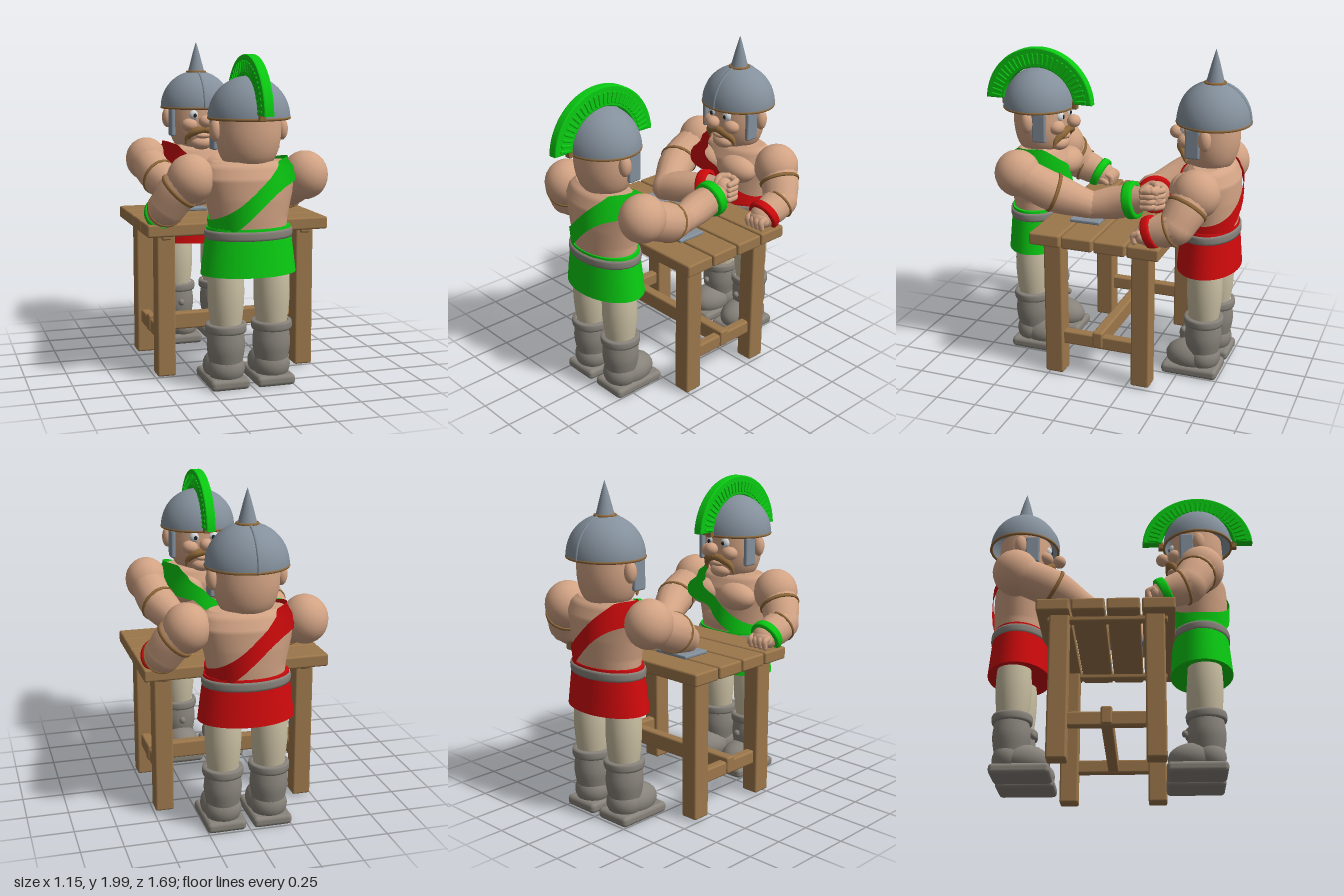
import * as THREE from 'three';
import { RoundedBoxGeometry } from 'three/addons/geometries/RoundedBoxGeometry.js';
import { ParametricGeometry } from 'three/addons/geometries/ParametricGeometry.js';

const mat = (name, color, side = THREE.FrontSide) => {
  const m = new THREE.MeshStandardMaterial({ color, side });
  m.name = name;
  return m;
};
const V = (x, y, z) => new THREE.Vector3(x, y, z);

export function createModel() {
  const skin = mat('skin', 0xd2a384), steel = mat('steel', 0x84909c, THREE.DoubleSide);
  const leather = mat('greyLeather', 0x87827a), linen = mat('linen', 0xc9bea2);
  const wood = mat('wood', 0x9c774b), trim = mat('brownTrim', 0x8f6839);
  const green = mat('greenCloth', 0x0acb12, THREE.DoubleSide), red = mat('redCloth', 0xd00a0c, THREE.DoubleSide);
  const white = mat('eyeWhite', 0xd5d9dc), dark = mat('pupil', 0x222428);

  // ---- helpers ----
  const add = (g, name, geo, m, p = [0, 0, 0], s = [1, 1, 1]) => {
    const mesh = new THREE.Mesh(geo, m);
    mesh.name = name;
    mesh.position.set(...p);
    mesh.scale.set(...s);
    g.add(mesh);
    return mesh;
  };
  const ball = new THREE.SphereGeometry(1, 22, 14), endBall = new THREE.SphereGeometry(1, 14, 9);
  const blob = (g, name, m, p, s) => add(g, name, ball, m, p, s);
  const box = (g, name, m, size, p, r = 0.012, seg = 2) => add(g, name, new RoundedBoxGeometry(...size, seg, r), m, p);
  const lathe = (g, name, m, pts, p, s) =>
    add(g, name, new THREE.LatheGeometry(new THREE.SplineCurve(pts.map(q => new THREE.Vector2(...q))).getPoints(12), 28), m, p, s);
  // Tube whose radius follows the fourth number of each point
  const limb = (g, name, m, pts) => {
    const curve = new THREE.CatmullRomCurve3(pts.map(q => V(q[0], q[1], q[2])));
    const n = 12, k = 14, geo = new THREE.TubeGeometry(curve, n, 1, k), pos = geo.attributes.position;
    for (let i = 0; i <= n; i++) {
      const t = curve.getUtoTmapping(i / n) * (pts.length - 1), j = Math.min(Math.floor(t), pts.length - 2);
      const r = THREE.MathUtils.lerp(pts[j][3], pts[j + 1][3], THREE.MathUtils.smoothstep(t - j, 0, 1));
      const c = curve.getPointAt(i / n);
      for (let a = 0; a <= k; a++) {
        const id = i * (k + 1) + a, v = V(0, 0, 0).fromBufferAttribute(pos, id).sub(c).multiplyScalar(r).add(c);
        pos.setXYZ(id, v.x, v.y, v.z);
      }
    }
    add(g, name, geo, m);
    for (const e of [pts[0], pts[pts.length - 1]]) add(g, name + 'End', endBall, m, e.slice(0, 3), [e[3], e[3], e[3]]);
  };
  // Cuff or band around a limb, its axis along dir
  const band = (g, name, m, p, dir, r, h) => {
    const geo = new THREE.LatheGeometry([[r - 0.025, -h / 2], [r - 0.004, -h / 2], [r, -h / 4], [r, h / 4], [r - 0.004, h / 2], [r - 0.025, h / 2]]
      .map(q => new THREE.Vector2(...q)), 28);
    const mesh = add(g, name, geo, m, p);
    mesh.quaternion.setFromUnitVectors(V(0, 1, 0), V(...dir).normalize());
    return mesh;
  };

  // ---- torso shape: half width and depth by height ----
  const rows = [[0.9, 0.225, 0.155], [1.0, 0.23, 0.165], [1.12, 0.255, 0.172], [1.24, 0.285, 0.168], [1.3, 0.265, 0.14], [1.33, 0.22, 0.1]];
  const girth = y => {
    let i = 0;
    while (i < rows.length - 2 && y > rows[i + 1][0]) i++;
    const [a, b] = [rows[i], rows[i + 1]], t = THREE.MathUtils.clamp((y - a[0]) / (b[0] - a[0]), 0, 1);
    return [a[1] + (b[1] - a[1]) * t, a[2] + (b[2] - a[2]) * t];
  };
  const bumps = [[-0.125, 1.19, 0.12, 0.135, 0.09, 0.1], [0.125, 1.19, 0.12, 0.135, 0.09, 0.1], [0, 1.03, 0.07, 0.17, 0.11, 0.115]];
  const inside = (x, y, z) => {
    const [rx, rz] = girth(y);
    return (x / rx) ** 2 + (z / rz) ** 2 < 1 ||
      bumps.some(b => ((x - b[0]) / b[3]) ** 2 + ((y - b[1]) / b[4]) ** 2 + ((z - b[2]) / b[5]) ** 2 < 1);
  };

  function warrior(name, cloth, wrestle, forearm, cuff) {
    const g = new THREE.Group();
    g.name = name;
    // Legs and boots
    for (const s of [-1, 1]) {
      const x = s * 0.14;
      box(g, 'sole', leather, [0.235, 0.065, 0.35], [x, 0.042, 0.05], 0.025);
      blob(g, 'bootFoot', leather, [x, 0.11, 0.065], [0.112, 0.1, 0.155]);
      blob(g, 'bootHeel', leather, [x, 0.12, -0.02], [0.11, 0.1, 0.1]);
      lathe(g, 'bootShaft', leather, [[0.085, 0.1], [0.1, 0.17], [0.112, 0.26], [0.1, 0.36]], [x, 0, -0.012]);
      band(g, 'bootCuff', leather, [x, 0.365, -0.012], [0, 1, 0], 0.121, 0.05);
      blob(g, 'bootKnob', leather, [x, 0.27, 0.115], [0.02, 0.022, 0.018]);
      lathe(g, 'leg', linen, [[0.085, 0.34], [0.1, 0.45], [0.107, 0.57], [0.1, 0.7], [0.08, 0.8]], [x, 0, -0.012]);
    }
    // Skirt and belt
    add(g, 'skirt', new THREE.CylinderGeometry(0.25, 0.285, 0.275, 36), cloth, [0, 0.818, 0], [1, 1, 0.67]);
    band(g, 'belt', leather, [0, 0.915, 0], [0, 1, 0], 0.262, 0.052).scale.z = 0.69;
    // Torso, chest and belly
    add(g, 'torso', new ParametricGeometry((u, v, t) => {
      const y = 0.9 + Math.min(v / 0.94, 1) * 0.43, [rx, rz] = girth(y), c = v > 0.96 ? 0 : 1, a = u * Math.PI * 2;
      t.set(Math.sin(a) * rx * c, y, Math.cos(a) * rz * c);
    }, 40, 20), skin);
    for (const b of bumps) blob(g, 'muscle', skin, b.slice(0, 3), b.slice(3));
    // Sash from right shoulder to left hip, laid over the body
    add(g, 'sash', new ParametricGeometry((u, v, t) => {
      const a = u * Math.PI * 2, sx = Math.sin(a), cz = Math.cos(a);
      const y = 1.115 - sx * 0.175 + (v - 0.5) * 0.125;
      let r = 0.36;
      while (r > 0.05 && !inside(sx * r, y, cz * r)) r -= 0.003;
      t.set(sx * (r + 0.015), y, cz * (r + 0.015));
    }, 64, 8), cloth);

    // Head and face
    lathe(g, 'head', skin, [[0, 1.285], [0.11, 1.3], [0.165, 1.36], [0.19, 1.47], [0.185, 1.6]], [0, 0, 0.01], [1, 1, 0.88]);
    blob(g, 'nose', skin, [0, 1.492, 0.225], [0.045, 0.04, 0.042]);
    blob(g, 'chin', skin, [0, 1.345, 0.13], [0.075, 0.045, 0.055]);
    blob(g, 'lip', skin, [0, 1.395, 0.165], [0.05, 0.02, 0.03]);
    for (const s of [-1, 1]) {
      blob(g, 'ear', skin, [s * 0.2, 1.508, 0.0], [0.035, 0.065, 0.038]);
      blob(g, 'cheek', skin, [s * 0.085, 1.465, 0.145], [0.055, 0.045, 0.05]);
      blob(g, 'eye', white, [s * 0.06, 1.53, 0.158], [0.032, 0.034, 0.025]);
      blob(g, 'pupil', dark, [s * 0.058, 1.528, 0.18], [0.012, 0.014, 0.007]);
      limb(g, 'moustache', trim, [[s * 0.01, 1.435, 0.185, 0.022], [s * 0.06, 1.425, 0.18, 0.026], [s * 0.1, 1.385, 0.15, 0.018], [s * 0.11, 1.345, 0.135, 0.007]]);
      box(g, 'cheekGuard', steel, [0.03, 0.18, 0.088], [s * 0.188, 1.48, 0.075], 0.012);
    }
    // Helmet
    add(g, 'helmet', new THREE.SphereGeometry(0.238, 36, 14, 0, Math.PI * 2, 0, Math.PI / 2), steel, [0, 1.575, 0], [1, 1, 0.93]);
    const rim = add(g, 'helmetRim', new THREE.TorusGeometry(0.232, 0.009, 8, 40), trim, [0, 1.575, 0], [1, 0.93, 1]);
    rim.rotation.x = Math.PI / 2;

    // Right arm, bent at the table
    for (const s of [-1, 1]) blob(g, 'shoulder', skin, [s * 0.345, 1.235, 0], [0.135, 0.143, 0.14]);
    limb(g, 'wrestlingUpperArm', skin, wrestle);
    limb(g, 'wrestlingForearm', skin, forearm);
    const w = wrestle[1], w2 = wrestle[2];
    band(g, 'armband', trim, w.slice(0, 3), [w2[0] - w[0], w2[1] - w[1], w2[2] - w[2]], w[3] + 0.005, 0.022);
    band(g, 'wrestlingCuff', cloth, ...cuff, 0.114, 0.06);
    // Left arm, resting on the table edge
    limb(g, 'upperArm', skin, [[0.345, 1.23, 0, 0.115], [0.41, 1.16, 0.035, 0.118], [0.46, 1.07, 0.08, 0.108]]);
    limb(g, 'forearm', skin, [[0.46, 1.07, 0.08, 0.108], [0.465, 1.04, 0.15, 0.1], [0.46, 1.01, 0.235, 0.08]]);
    band(g, 'armband', trim, [0.405, 1.165, 0.033], [0.65, -0.75, 0.35], 0.125, 0.022);
    band(g, 'elbowBand', trim, [0.463, 1.055, 0.11], [0.05, -0.4, 0.9], 0.11, 0.016);
    band(g, 'cuff', cloth, [0.46, 1.013, 0.222], [0, -0.42, 0.9], 0.104, 0.05);
    blob(g, 'fist', skin, [0.465, 1.0, 0.275], [0.075, 0.055, 0.05]);
    for (let i = 0; i < 4; i++) {
      const x = 0.412 + i * 0.036;
      limb(g, 'finger', skin, [[x, 1.02, 0.285, 0.019], [x, 1.005, 0.315, 0.019], [x, 0.968, 0.31, 0.017]]);
    }
    limb(g, 'thumb', skin, [[0.4, 0.99, 0.25, 0.022], [0.385, 0.975, 0.29, 0.018]]);
    return g;
  }

  const model = new THREE.Group();
  model.name = 'armWrestlers';

  // ---- far warrior with spiked helmet ----
  const far = warrior('redWarrior', red,
    [[-0.345, 1.23, 0, 0.115], [-0.315, 1.14, 0.22, 0.118], [-0.21, 1.04, 0.43, 0.088]],
    [[-0.21, 1.04, 0.43, 0.088], [-0.1, 1.07, 0.4, 0.1], [0.06, 1.1, 0.335, 0.088], [0.17, 1.12, 0.29, 0.055]],
    [[0.06, 1.1, 0.335], [0.92, 0.15, -0.39]]);
  far.position.z = -0.622;
  lathe(far, 'helmetSpike', steel, [[0.056, 1.8], [0.043, 1.85], [0.022, 1.93], [0.001, 2]]);
  const ring = add(far, 'spikeRing', new THREE.TorusGeometry(0.058, 0.009, 8, 28), trim, [0, 1.806, 0]);
  ring.rotation.x = Math.PI / 2;
  const ridge = add(far, 'helmetRidge', new THREE.TorusGeometry(0.236, 0.009, 6, 40, Math.PI), steel, [0, 1.575, 0], [0.93, 1, 1]);
  ridge.rotation.y = Math.PI / 2;
  model.add(far);

  // ---- near warrior with crested helmet ----
  const near = warrior('greenWarrior', green,
    [[-0.345, 1.23, 0, 0.115], [-0.315, 1.13, 0.22, 0.118], [-0.21, 1.035, 0.43, 0.086]],
    [[-0.21, 1.035, 0.43, 0.086], [-0.2, 1.07, 0.57, 0.1], [-0.205, 1.1, 0.68, 0.094], [-0.215, 1.13, 0.79, 0.055]],
    [[-0.205, 1.1, 0.68], [0, 0.2, 0.97]]);
  near.position.z = 0.49;
  near.rotation.y = Math.PI;
  const arc = new THREE.Shape();
  arc.absarc(0, 0, 0.345, 0.08, Math.PI - 0.08, false);
  arc.absarc(0, 0, 0.24, Math.PI - 0.12, 0.12, true);
  const crest = add(near, 'crest', new THREE.ExtrudeGeometry(arc,
    { depth: 0.044, curveSegments: 32, bevelThickness: 0.008, bevelSize: 0.008, bevelSegments: 2 }), green, [-0.022, 1.58, 0]);
  crest.rotation.y = Math.PI / 2;
  // Ribs across the crest and its mounts
  for (let i = 0; i < 27; i++) {
    const a = 0.14 + i * (Math.PI - 0.28) / 26;
    const rib = box(near, 'crestRib', green, [0.074, 0.07, 0.017], [0, 1.58 + Math.sin(a) * 0.285, Math.cos(a) * 0.285], 0.005, 1);
    rib.rotation.x = Math.PI / 2 - a;
  }
  for (const s of [-1, 1]) box(near, 'crestMount', trim, [0.04, 0.05, 0.03], [0, 1.592, s * 0.235], 0.005);
  model.add(near);

  // ---- clasped hands ----
  const hands = new THREE.Group();
  hands.name = 'claspedHands';
  blob(hands, 'nearPalm', skin, [0.215, 1.14, -0.29], [0.06, 0.07, 0.065]);
  blob(hands, 'farPalm', skin, [0.2, 1.13, -0.34], [0.065, 0.065, 0.05]);
  for (let i = 0; i < 4; i++) {
    const y = 1.095 + i * 0.033;
    limb(hands, 'farFinger', skin, [[0.22, y, -0.35, 0.02], [0.278, y, -0.325, 0.02], [0.275, y - 0.008, -0.275, 0.018]]);
    limb(hands, 'nearFinger', skin, [[0.25, y - 0.01, -0.345, 0.019], [0.21, y - 0.01, -0.378, 0.019], [0.165, y - 0.01, -0.365, 0.017]]);
  }
  limb(hands, 'nearThumb', skin, [[0.19, 1.17, -0.26, 0.028], [0.17, 1.2, -0.3, 0.024], [0.2, 1.205, -0.34, 0.023]]);
  limb(hands, 'farThumb', skin, [[0.22, 1.16, -0.35, 0.026], [0.27, 1.195, -0.335, 0.024]]);
  model.add(hands);

  // ---- table ----
  const table = new THREE.Group();
  table.name = 'table';
  for (let i = 0; i < 4; i++) box(table, 'plank', wood, [1.12, 0.075, 0.192], [0, 0.915, -0.374 + i * 0.203]);
  for (const x of [-0.435, 0.435]) {
    for (const z of [-0.34, 0.212]) box(table, 'leg', wood, [0.112, 0.87, 0.115], [x, 0.455, z]);
    box(table, 'sideRail', wood, [0.06, 0.085, 0.5], [x, 0.255, -0.065]);
    box(table, 'batten', wood, [0.06, 0.04, 0.7], [x, 0.87, -0.065]);
  }
  box(table, 'crossRail', wood, [0.95, 0.105, 0.065], [0, 0.272, -0.065]);
  // Elbow pads
  for (const s of [-1, 1]) box(table, 'elbowPad', steel, [0.245, 0.022, 0.19], [s * 0.195, 0.964, -0.065 + s * 0.14], 0.008);
  model.add(table);
  return model;
}
